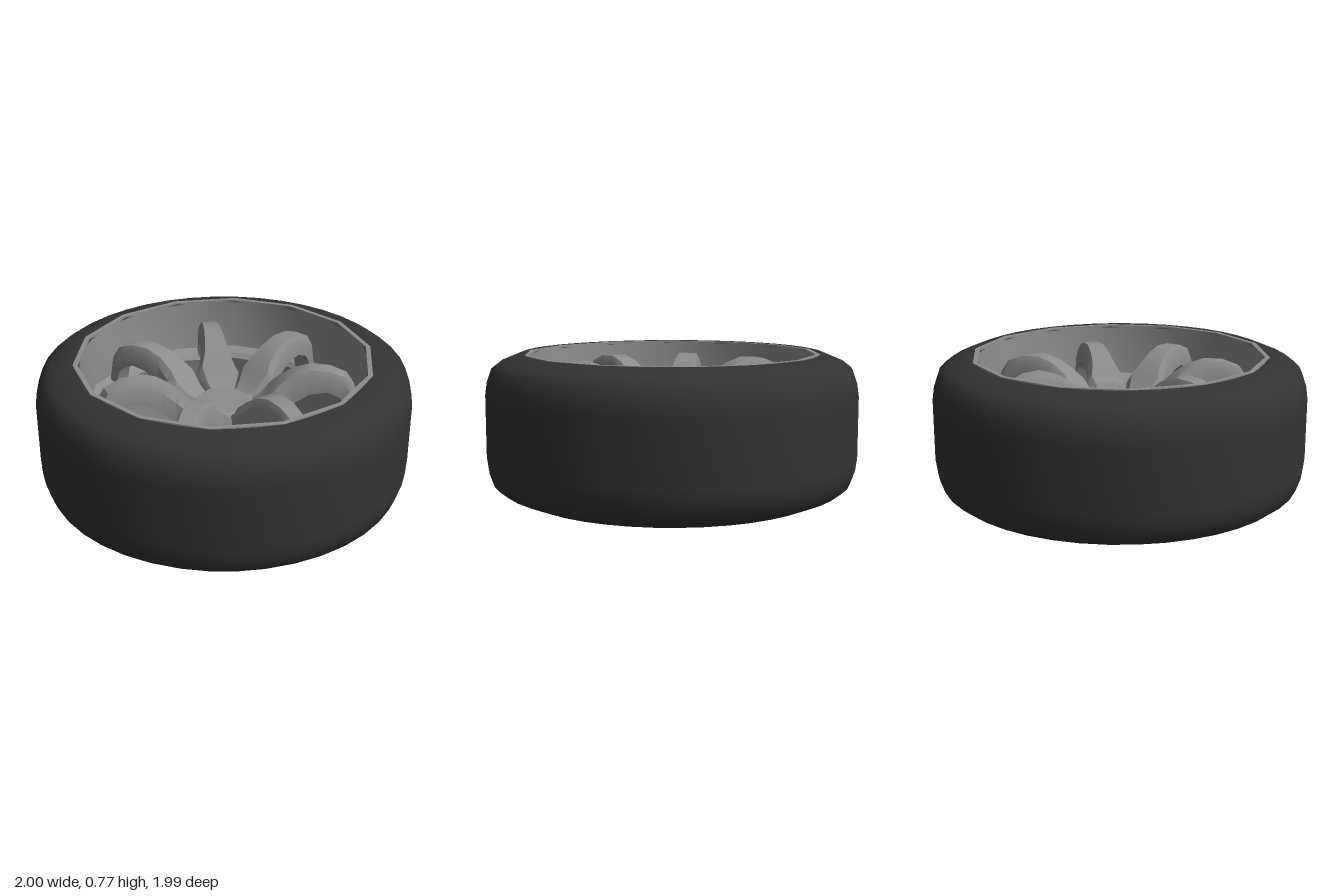
import * as THREE from 'three';
import { toCreasedNormals } from 'three/addons/utils/BufferGeometryUtils.js';

const SPOKES = 7;
const rubber = new THREE.MeshStandardMaterial({ color: 0x333333 });
const metal = new THREE.MeshStandardMaterial({ color: 0x8c8c8c });

// Revolve an [r, y] profile with a flat side facing +z
function revolve(profile, sides) {
  const points = profile.map(([r, y]) => new THREE.Vector2(r, y));
  return new THREE.LatheGeometry(points, sides, Math.PI / sides);
}

function addMesh(parent, name, geometry, material) {
  const mesh = new THREE.Mesh(geometry, material);
  mesh.name = name;
  parent.add(mesh);
  return mesh;
}

// Arched spoke along +z, six-sided cross-sections from hub to rim.
// Each station: top z, top y, bottom z, bottom y, half width
function spokeGeometry() {
  const mitre = Math.tan(Math.PI / SPOKES);
  const stations = [
    [0.12, 0.48, 0.12, 0.38, 0.12 * mitre],
    [0.19, 0.52, 0.19, 0.38, 0.19 * mitre],
    [0.25, 0.59, 0.25, 0.39, 0.25 * mitre],
    [0.30, 0.64, 0.31, 0.46, 0.092],
    [0.37, 0.69, 0.38, 0.54, 0.075],
    [0.46, 0.72, 0.46, 0.59, 0.066],
    [0.56, 0.715, 0.55, 0.60, 0.06],
    [0.65, 0.68, 0.62, 0.57, 0.056],
    [0.695, 0.61, 0.65, 0.53, 0.055],
    [0.725, 0.45, 0.67, 0.44, 0.055],
  ];
  const positions = [], index = [], n = 6;
  for (const [zt, yt, zb, yb, w] of stations) {
    const mix = (t) => [yt + (yb - yt) * t, zt + (zb - zt) * t];
    const loop = [[0.7, 0], [-0.7, 0], [-1, 0.28], [-1, 1], [1, 1], [1, 0.28]];
    for (const [k, t] of loop) positions.push(k * w, ...mix(t));
  }
  for (let s = 0; s < stations.length - 1; s++) {
    for (let i = 0; i < n; i++) {
      const a = s * n + i, b = s * n + (i + 1) % n;
      index.push(a, b, a + n, b, b + n, a + n);
    }
  }
  const end = (stations.length - 1) * n;
  for (let i = 1; i < n - 1; i++) index.push(end, end + i, end + i + 1);
  const geometry = new THREE.BufferGeometry();
  geometry.setAttribute('position', new THREE.Float32BufferAttribute(positions, 3));
  geometry.setIndex(index);
  return toCreasedNormals(geometry, 0.6);
}

export function createModel() {
  const wheel = new THREE.Group();
  wheel.name = 'wheel';

  // Tyre with rounded shoulders
  addMesh(wheel, 'tire', revolve([
    [0.76, 0.015], [0.81, 0], [0.92, 0.045], [0.965, 0.08], [0.99, 0.15], [1, 0.22],
    [1, 0.55], [0.99, 0.62], [0.965, 0.69], [0.92, 0.725], [0.81, 0.77], [0.76, 0.755],
  ], 42), rubber);

  // Fourteen-sided rim: top lip, deep wall, ledge, and hollow barrel below
  addMesh(wheel, 'rim', toCreasedNormals(revolve([
    [0.795, 0.004], [0.795, 0.768], [0.77, 0.768], [0.75, 0.48], [0.692, 0.46],
    [0.672, 0.435], [0.72, 0.25], [0.722, 0.004], [0.795, 0.004],
  ], 14), 0.5), metal);

  // Seven-sided hub with bevelled cap
  addMesh(wheel, 'hub', toCreasedNormals(revolve([
    [0, 0.38], [0.17, 0.38], [0.17, 0.49], [0.152, 0.505], [0, 0.505],
  ], SPOKES), 0.4), metal);

  // Spokes
  const spoke = spokeGeometry();
  for (let i = 0; i < SPOKES; i++) {
    addMesh(wheel, 'spoke' + (i + 1), spoke, metal).rotation.y = (i * 2 * Math.PI) / SPOKES;
  }
  return wheel;
}
